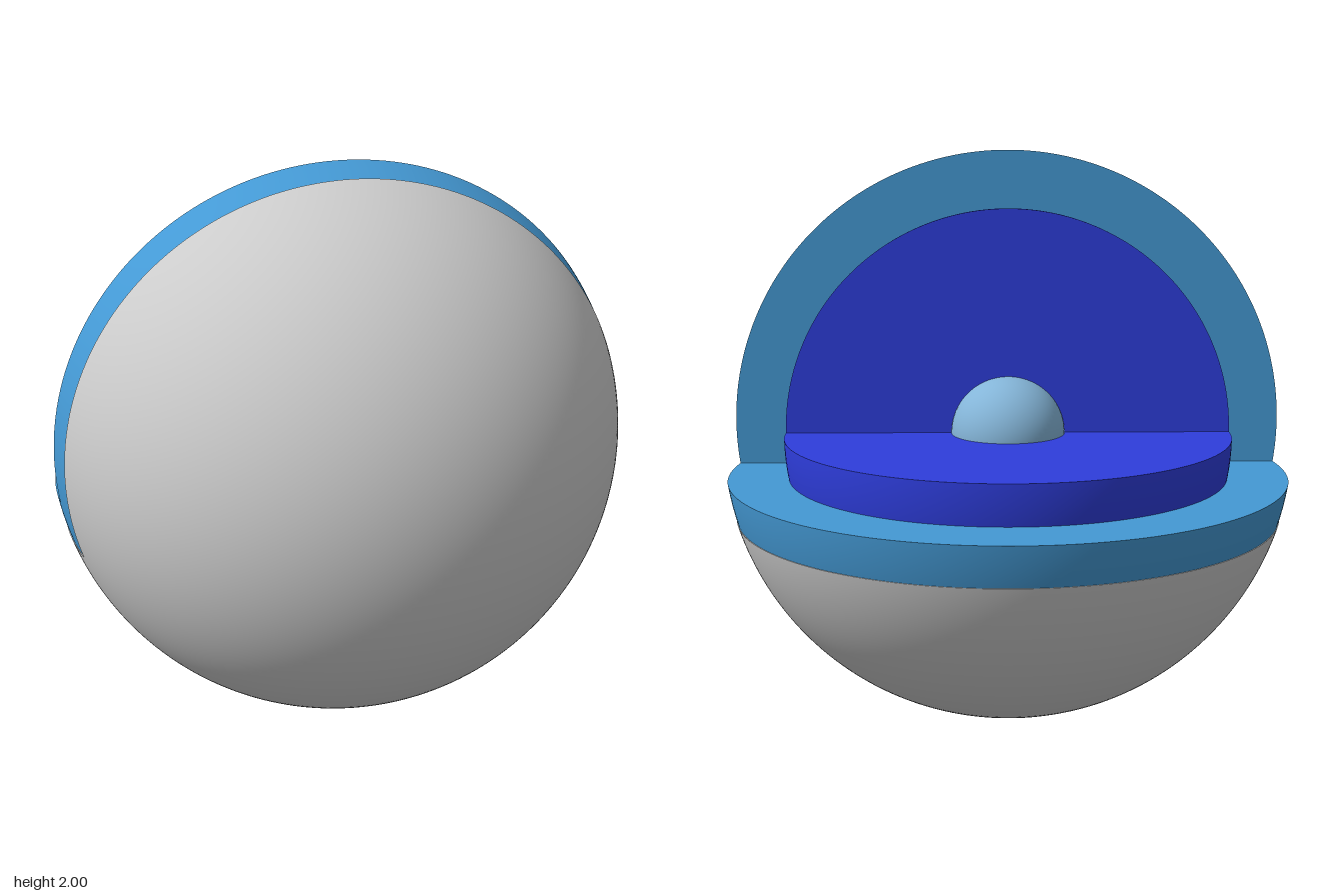
import * as THREE from 'three';
import { mergeGeometries } from 'three/addons/utils/BufferGeometryUtils.js';

const CENTRE = [0, 1.005, -0.005];

// Spherical skin below the plane y = -d, ending at the diagonal y = -z.
// With mirrored = true it is reflected across that diagonal to become the front half.
function skin(R, d, mirrored) {
  const cols = 72, pos = [], nor = [], idx = [];
  const a0 = Math.asin(d / R), a1 = Math.asin(d * Math.SQRT2 / R);
  const angles = [];
  // finer steps towards the pointed ends
  if (d > 0) for (let i = 0; i < 12; i++) angles.push(a0 + (a1 - a0) * (i / 12) ** 2);
  const tail = angles.map((a) => Math.PI - a).reverse();
  for (let i = 0; i <= 96; i++) angles.push(a1 + (Math.PI - 2 * a1) * i / 96);
  angles.push(...tail);

  angles.forEach((a) => {
    const x = R * Math.cos(a), rho = R * Math.sin(a);
    const cut = d > 0 ? Math.asin(Math.min(1, d / rho)) : 0;
    const from = -Math.PI + cut, to = Math.min(-cut, -Math.PI / 4);
    for (let j = 0; j <= cols; j++) {
      const phi = from + (to - from) * j / cols;
      const y = rho * Math.sin(phi), z = rho * Math.cos(phi);
      const p = mirrored ? [x, -z, -y] : [x, y, z];
      pos.push(...p);
      nor.push(...p.map((v) => v / R));
    }
  });
  for (let i = 0; i < angles.length - 1; i++) {
    for (let j = 0; j < cols; j++) {
      const a = i * (cols + 1) + j, b = a + 1, c = a + cols + 1, e = c + 1;
      if (mirrored) idx.push(a, c, b, b, c, e);
      else idx.push(a, b, c, b, e, c);
    }
  }
  const g = new THREE.BufferGeometry();
  g.setAttribute('position', new THREE.Float32BufferAttribute(pos, 3));
  g.setAttribute('normal', new THREE.Float32BufferAttribute(nor, 3));
  g.setIndex(idx);
  return g;
}

// Flat cut face: a disc or ring clipped by the other cutting plane
function cutFace(R, inner, d) {
  const r = Math.sqrt(R * R - d * d), t = Math.asin(d / r);
  const s = new THREE.Shape();
  s.absarc(0, 0, r, -t, Math.PI + t, false);
  if (inner > 0) {
    const ri = Math.sqrt(inner * inner - d * d), ti = Math.asin(d / ri);
    s.absarc(0, 0, ri, Math.PI + ti, -ti, true);
  }
  s.closePath();
  const g = new THREE.ShapeGeometry(s, 128);
  g.deleteAttribute('uv');
  return g;
}

// Ball layer with its upper back quarter removed, d beyond the centre
function layer(name, color, R, inner, d) {
  const geometry = mergeGeometries([
    skin(R, d, false),
    skin(R, d, true),
    cutFace(R, inner, d).rotateX(-Math.PI / 2).translate(0, -d, 0),
    cutFace(R, inner, d).rotateY(Math.PI).translate(0, 0, d),
  ]);
  const mesh = new THREE.Mesh(geometry, new THREE.MeshStandardMaterial({ color }));
  mesh.name = name;
  return mesh;
}

export function createModel() {
  const model = new THREE.Group();
  model.name = 'cutawayBall';

  // Nested layers, from the thin outer skin inwards
  model.add(layer('outerSkin', 0xcccccc, 1.005, 1.002, 0.28));
  model.add(layer('middleLayer', 0x4499d4, 1.002, 0.793, 0.14));
  model.add(layer('innerLayer', 0x2e3ddc, 0.793, 0, 0));

  // Small ball at the centre
  const core = new THREE.Mesh(
    new THREE.SphereGeometry(0.202, 64, 48),
    new THREE.MeshStandardMaterial({ color: 0x84b5d8 }),
  );
  core.name = 'core';
  model.add(core);

  model.children.forEach((part) => part.position.set(...CENTRE));
  return model;
}
